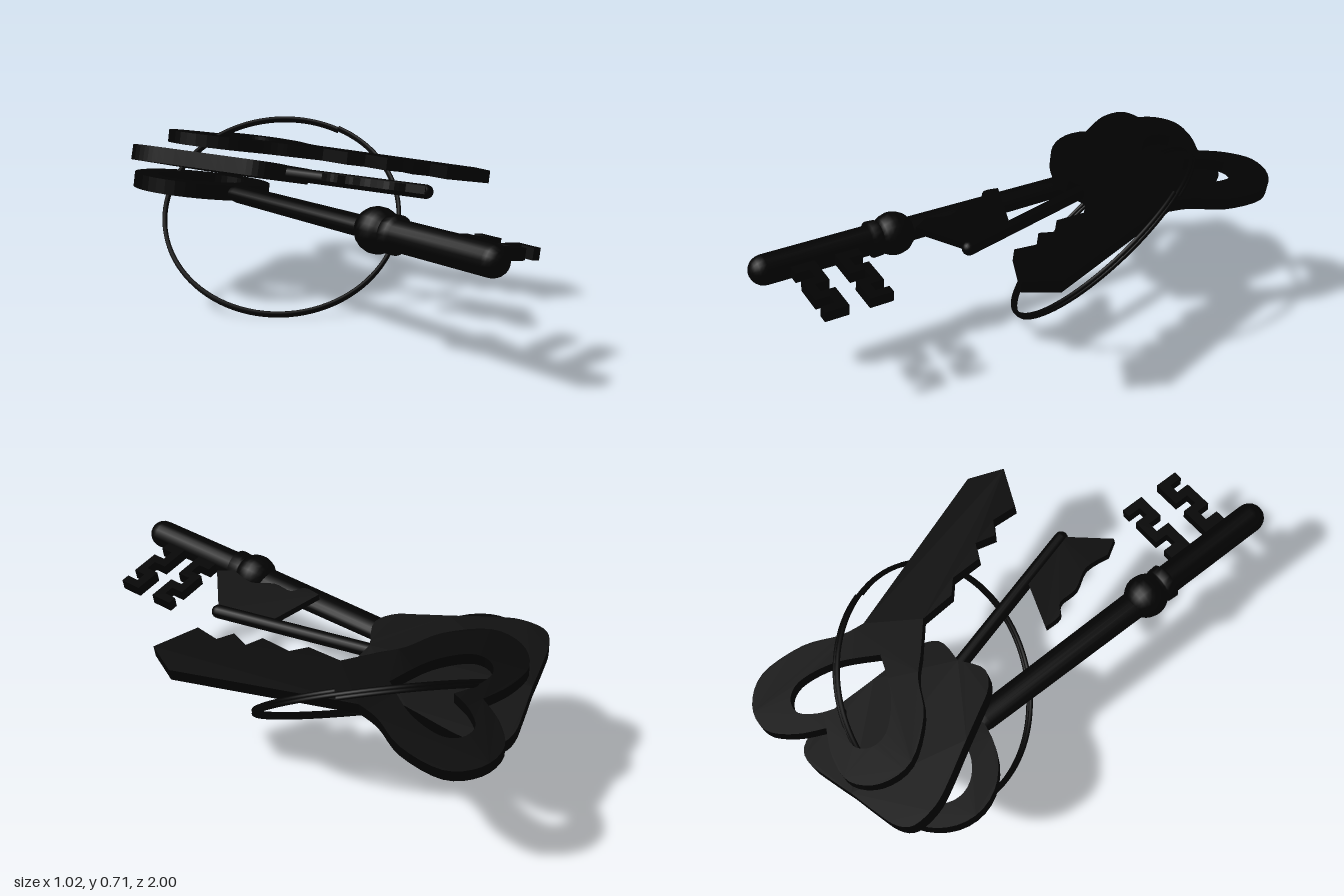
import * as THREE from 'three';

const V2 = (p) => new THREE.Vector2(p[0], p[1]);
const metal = new THREE.MeshStandardMaterial({ color: 0x020202 });

function add(parent, name, geometry) {
  const mesh = new THREE.Mesh(geometry, metal);
  mesh.name = name;
  parent.add(mesh);
  return mesh;
}

// Smooth curve through a few [x, z] points
const smooth = (pts, n = 28) => new THREE.SplineCurve(pts.map(V2)).getPoints(n).map((p) => [p.x, p.y]);
const mirror = (pts) => pts.map(([x, z]) => [-x, z]).reverse();
const oval = (a, b, zc, n = 40) => Array.from({ length: n }, (_, i) => {
  const t = (i / n) * Math.PI * 2;
  return [a * Math.cos(t), zc + b * Math.sin(t)];
});

// Flat plate lying in the key's x-z plane, centred on y = 0.
// Outline and hole run the same way round, so the hole is reversed to face its walls inward.
function plate(outline, thickness, hole) {
  const flip = (pts) => pts.map(([x, z]) => new THREE.Vector2(x, -z));
  const shape = new THREE.Shape(flip(outline));
  if (hole) shape.holes.push(new THREE.Path(flip(hole).reverse()));
  const g = new THREE.ExtrudeGeometry(shape, { depth: thickness, bevelEnabled: false });
  g.translate(0, 0, -thickness / 2);
  return g.rotateX(-Math.PI / 2);
}

// Turned part along the key's z axis; profile is [radius, z]
const turned = (profile, sides) => new THREE.LatheGeometry(profile.map(V2), sides).rotateX(Math.PI / 2);

// Quarter circle closing a rod at z = end
const dome = (r, end, n = 6) => Array.from({ length: n + 1 }, (_, i) => {
  const a = (i / n) * Math.PI / 2;
  return [r * Math.cos(a), end - r + r * Math.sin(a)];
});

function key(name, x, y, pitch, yaw, roll) {
  const g = new THREE.Group();
  g.name = name;
  g.position.set(x, y, 0);
  g.rotation.set(pitch, yaw, roll, 'YXZ');
  return g;
}

// Old-fashioned key: oval bow, flattened stem, turned end and two meander teeth
function skeletonKey() {
  const g = key('skeletonKey', -0.29, 0.47, 0, -0.174, -0.17);
  add(g, 'ovalBow', plate(oval(0.302, 0.245, -0.665), 0.06, oval(0.205, 0.15, -0.67)));
  add(g, 'flatStem', turned([[0, -0.47], [0.045, -0.46], [0.054, -0.4], [0.06, 0.38], [0, 0.38]], 20).scale(1, 0.68, 1));
  const ball = Array.from({ length: 11 }, (_, i) => {
    const a = -Math.PI / 2 + (i / 10) * 2.42;
    return [Math.max(0, 0.088 * Math.cos(a)), 0.408 + 0.088 * Math.sin(a)];
  });
  add(g, 'turnedEnd', turned([...ball, [0.072, 0.475], [0.074, 0.512], [0.06, 0.522], ...dome(0.06, 1.015)], 20));
  const tooth = [
    [0.03, 0.59], [0.1, 0.59], [0.1, 0.647], [0.15, 0.647], [0.15, 0.59], [0.275, 0.59],
    [0.275, 0.647], [0.318, 0.647], [0.318, 0.59], [0.355, 0.59], [0.355, 0.688],
    [0.236, 0.688], [0.236, 0.628], [0.188, 0.628], [0.188, 0.688], [0.03, 0.688],
  ];
  add(g, 'innerTooth', plate(tooth, 0.045));
  add(g, 'outerTooth', plate(tooth.map(([x, z]) => [x, 1.46 - z]), 0.045));
  return g;
}

// Shield-shaped bow, thin rod and a wavy flag tooth
function shieldKey() {
  const g = key('shieldKey', 0.006, 0.535, 0, 0.088, -0.268);
  const side = smooth([
    [0, -0.955], [0.12, -0.958], [0.22, -0.955], [0.28, -0.92], [0.3, -0.83], [0.288, -0.74],
    [0.24, -0.57], [0.205, -0.44], [0.175, -0.345], [0.11, -0.288], [0, -0.315],
  ], 36);
  add(g, 'shieldBow', plate([...side, ...mirror(side).slice(1, -1)], 0.065));
  add(g, 'rod', turned([[0, -0.4], [0.028, -0.4], ...dome(0.028, 0.37)], 16));
  add(g, 'flagTooth', plate([
    [0, 0.116], [0, 0.34], [-0.193, 0.44],
    ...smooth([[-0.214, 0.369], [-0.175, 0.276], [-0.197, 0.18], [-0.18, 0.1], [-0.213, 0.05], [-0.196, -0.017]], 20),
  ], 0.03));
  return g;
}

// Heart-shaped open bow with a notched blade, cut as one plate
function heartKey() {
  const g = key('heartKey', 0.284, 0.566, 0.036, 0.157, -0.18);
  const side = smooth([
    [0, -0.855], [0.09, -0.935], [0.2, -0.978], [0.305, -0.925], [0.352, -0.8],
    [0.288, -0.63], [0.185, -0.52], [0.136, -0.434],
  ]);
  const notches = [
    [-0.091, 0.29], [-0.049, 0.195], [-0.094, 0.14], [-0.046, 0.073], [-0.097, 0.022],
    [-0.056, -0.1], [-0.094, -0.165], [-0.056, -0.303],
  ];
  const inner = smooth([[0, -0.75], [0.06, -0.82], [0.135, -0.86], [0.195, -0.825], [0.203, -0.745], [0.13, -0.62], [0, -0.51]]);
  add(g, 'heartBowAndBlade', plate(
    [...side, [0.15, 0.308], [0.048, 0.418], ...notches, ...mirror(side).slice(0, -1)],
    0.052,
    [...inner, ...mirror(inner).slice(1, -1)],
  ));
  return g;
}

// Split ring: a wire coiled twice around a tilted axis
function splitRing() {
  const centre = new THREE.Vector3(0.027, 0.352, -0.39);
  const n = new THREE.Vector3(-0.545, 0.723, 0.42).normalize();
  const u = new THREE.Vector3(0.395, 0.31, 0);
  u.addScaledVector(n, -u.dot(n)).normalize();
  const v = new THREE.Vector3().crossVectors(n, u);
  const pts = [];
  for (let i = 0; i <= 96; i++) {
    const a = (i / 96) * Math.PI * 4;
    pts.push(centre.clone()
      .addScaledVector(u, 0.496 * Math.cos(a))
      .addScaledVector(v, 0.496 * Math.sin(a))
      .addScaledVector(n, (i / 96 - 0.5) * 0.026));
  }
  return new THREE.TubeGeometry(new THREE.CatmullRomCurve3(pts), 192, 0.0095, 8);
}

export function createModel() {
  const model = new THREE.Group();
  model.name = 'keysOnRing';
  model.add(skeletonKey(), shieldKey(), heartKey());
  add(model, 'splitRing', splitRing());
  return model;
}
